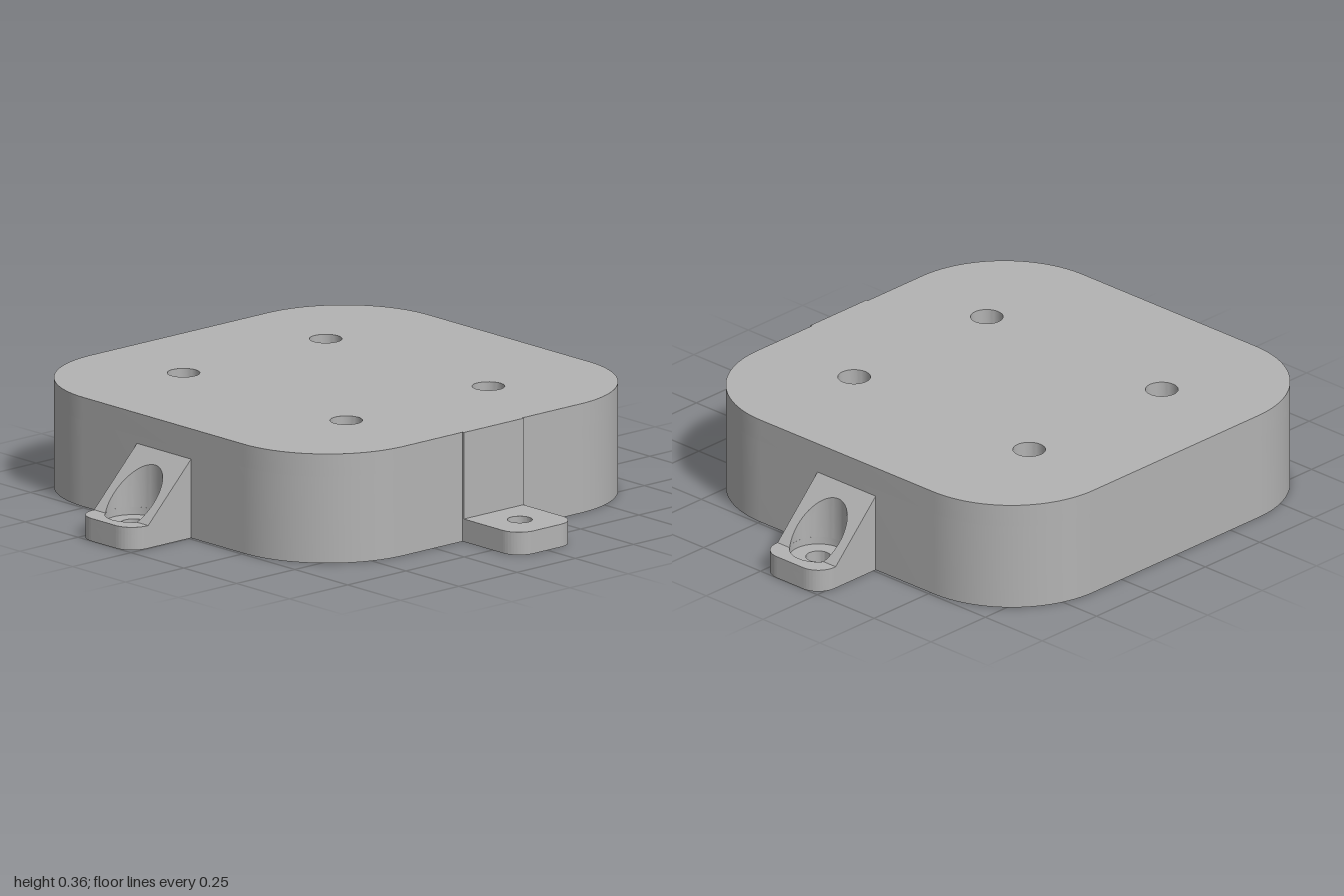
import * as THREE from 'three';
import { toCreasedNormals } from 'three/addons/utils/BufferGeometryUtils.js';

const HEIGHT = 0.36, ROOF = 0.075, HALF = 0.74, CENTRE_X = -0.132;
const TAB_HALF = 0.128, TAB_LENGTH = 0.26, TAB_HEIGHT = 0.075, TAB_FLOOR = 0.05;
const HOLE_V = 0.13, BORE = 0.092, RAMP_LENGTH = 0.184, RAMP_TOP = 0.26;

const grey = new THREE.MeshStandardMaterial({ color: 0xb3b3b3 });
grey.name = 'grey plastic';

// rounded square centred on the origin
function roundedSquare(h, r) {
  const s = new THREE.Shape();
  s.absarc(h - r, h - r, r, 0, Math.PI / 2);
  s.absarc(r - h, h - r, r, Math.PI / 2, Math.PI);
  s.absarc(r - h, r - h, r, Math.PI, Math.PI * 1.5);
  s.absarc(h - r, r - h, r, Math.PI * 1.5, Math.PI * 2);
  s.closePath();
  return s;
}

function addHole(shape, x, z, r) {
  shape.holes.push(new THREE.Path().absarc(x, z, r, 0, Math.PI * 2, true));
  return shape;
}

// extrude a plan drawn in x and z between two heights
function slabGeometry(shape, y0, y1) {
  const g = new THREE.ExtrudeGeometry(shape, { depth: y1 - y0, bevelEnabled: false, curveSegments: 20 });
  g.rotateX(Math.PI / 2);
  g.translate(0, y1, 0);
  return g;
}

function addMesh(parent, name, geometry) {
  const mesh = new THREE.Mesh(toCreasedNormals(geometry, 0.5), grey);
  mesh.name = name;
  parent.add(mesh);
  return mesh;
}

// tab plan: square at the wall, rounded at the outer end
function tabShape(holeRadius) {
  const r = 0.07, w = TAB_HALF, l = TAB_LENGTH;
  const s = new THREE.Shape();
  s.moveTo(-w, 0);
  s.lineTo(w, 0);
  s.absarc(w - r, l - r, r, 0, Math.PI / 2);
  s.absarc(r - w, l - r, r, Math.PI / 2, Math.PI);
  s.closePath();
  return addHole(s, 0, HOLE_V, holeRadius);
}

// sloping gusset with the screw bore cut out of it
function rampGeometry() {
  const a = Math.asin((RAMP_LENGTH - HOLE_V) / BORE);
  const s = new THREE.Shape();
  s.moveTo(-TAB_HALF, 0);
  s.lineTo(TAB_HALF, 0);
  s.lineTo(TAB_HALF, RAMP_LENGTH);
  s.absarc(0, HOLE_V, BORE, a, -Math.PI - a, true);
  s.lineTo(-TAB_HALF, RAMP_LENGTH);
  s.closePath();
  const g = slabGeometry(s, TAB_HEIGHT, RAMP_TOP);
  const p = g.attributes.position;
  const middle = (TAB_HEIGHT + RAMP_TOP) / 2;
  for (let i = 0; i < p.count; i++) {
    if (p.getY(i) > middle) {
      p.setY(i, RAMP_TOP - (RAMP_TOP - TAB_HEIGHT) * p.getZ(i) / RAMP_LENGTH);
    }
  }
  return g;
}

function gussetTab(name) {
  const tab = new THREE.Group();
  tab.name = name;
  addMesh(tab, 'tabFloor', slabGeometry(tabShape(0.04), 0, TAB_FLOOR));
  addMesh(tab, 'tabRecess', slabGeometry(tabShape(BORE), TAB_FLOOR, TAB_HEIGHT));
  addMesh(tab, 'gusset', rampGeometry());
  return tab;
}

export function createModel() {
  const model = new THREE.Group();
  model.name = 'mountingCover';

  // hollow cover, open underneath
  const cover = new THREE.Group();
  cover.name = 'cover';
  cover.position.x = CENTRE_X;
  model.add(cover);

  const wall = roundedSquare(HALF, 0.36);
  wall.holes.push(roundedSquare(HALF - 0.045, 0.315));
  addMesh(cover, 'wall', slabGeometry(wall, 0, HEIGHT - ROOF));

  const roof = roundedSquare(HALF, 0.36);
  for (const x of [-0.385, 0.385]) {
    for (const z of [-0.305, 0.305]) addHole(roof, x, z, 0.052);
  }
  addMesh(cover, 'roof', slabGeometry(roof, HEIGHT - ROOF, HEIGHT));

  // front and back screw tabs with gussets
  for (const side of [1, -1]) {
    const tab = gussetTab(side > 0 ? 'frontTab' : 'backTab');
    tab.position.set(-0.13, 0, side * HALF);
    tab.rotation.y = side > 0 ? 0 : Math.PI;
    model.add(tab);
  }

  // plain side tab and the shallow pad above it
  const sideTab = addMesh(model, 'sideTab', slabGeometry(tabShape(0.04), 0, TAB_HEIGHT));
  sideTab.rotation.y = Math.PI / 2;
  sideTab.position.x = 0.608;

  const pad = addMesh(model, 'wallPad', new THREE.BoxGeometry(0.02, HEIGHT, TAB_HALF * 2));
  pad.position.set(0.604, HEIGHT / 2, 0);

  return model;
}
